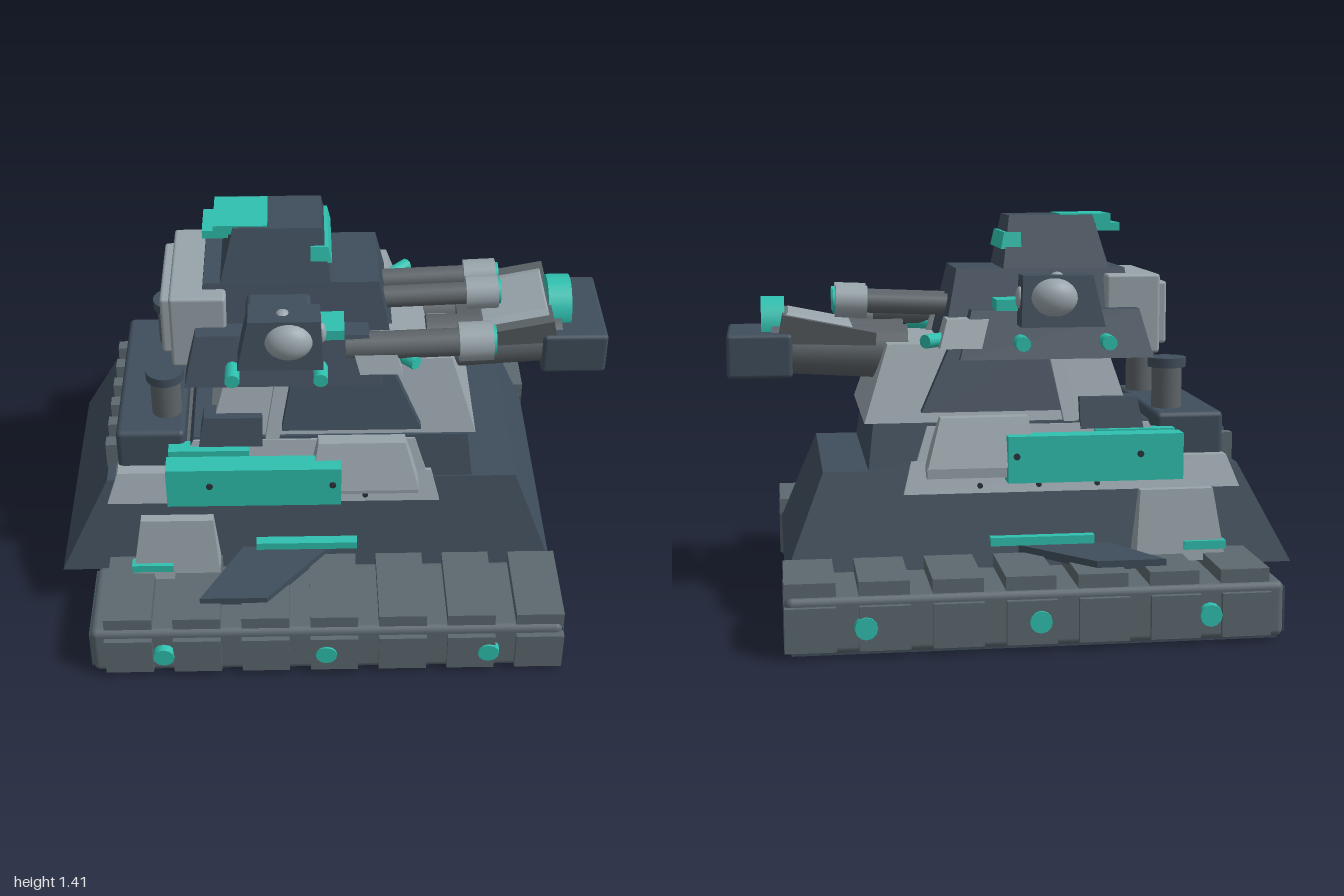
import * as THREE from 'three';
import { RoundedBoxGeometry } from 'three/addons/geometries/RoundedBoxGeometry.js';

const paint = (name, color) => Object.assign(new THREE.MeshStandardMaterial({ color }), { name });

export function createModel() {
  const navy = paint('navy armour', 0x3f4d5b), track = paint('track grey', 0x5c686f);
  const light = paint('light grey armour', 0x98a4ab), teal = paint('teal trim', 0x2fc0af);
  const steel = paint('gun steel', 0x5d6469), dark = paint('dark bolts', 0x2b3238);
  const model = new THREE.Group();

  const add = (name, geo, mat) => {
    const mesh = new THREE.Mesh(geo, mat);
    mesh.name = name;
    model.add(mesh);
    return mesh;
  };

  // Block with its own bottom and top rectangles, each [x0, x1, z0, z1]
  const block = (name, mat, y0, y1, bottom, top = bottom) => {
    const geo = new THREE.BoxGeometry(1, 1, 1), p = geo.attributes.position;
    for (let i = 0; i < p.count; i++) {
      const r = p.getY(i) < 0 ? bottom : top;
      p.setXYZ(i, p.getX(i) < 0 ? r[0] : r[1], p.getY(i) < 0 ? y0 : y1, p.getZ(i) < 0 ? r[2] : r[3]);
    }
    geo.computeVertexNormals();
    return add(name, geo, mat);
  };
  // Same block, placed on side s (z measured outward)
  const sideBlock = (s, name, mat, y0, y1, b, t = b) => {
    const flip = r => (s > 0 ? r : [r[0], r[1], -r[3], -r[2]]);
    return block(name, mat, y0, y1, flip(b), flip(t));
  };
  const rounded = (name, mat, x0, x1, y0, y1, z0, z1, r = 0.02) => {
    const geo = new RoundedBoxGeometry(x1 - x0, y1 - y0, Math.abs(z1 - z0), 2, r);
    return add(name, geo.translate((x0 + x1) / 2, (y0 + y1) / 2, (z0 + z1) / 2), mat);
  };
  // Cylinder running between two points
  const rod = (name, mat, a, b, r0, r1 = r0, sides = 20) => {
    const from = new THREE.Vector3(...a), d = new THREE.Vector3(...b).sub(from);
    const mesh = add(name, new THREE.CylinderGeometry(r1, r0, d.length(), sides), mat);
    mesh.position.copy(from).addScaledVector(d, 0.5);
    mesh.quaternion.setFromUnitVectors(new THREE.Vector3(0, 1, 0), d.normalize());
    return mesh;
  };

  // Hull layers
  block('lowerHull', navy, 0.18, 0.53, [-1, 0.81, -0.505, 0.505], [-0.82, 0.67, -0.41, 0.41]);
  block('hullBand', light, 0.45, 0.56, [-0.82, 0.39, -0.45, 0.45], [-0.78, 0.36, -0.41, 0.41]);
  block('hullShoulder', light, 0.56, 0.68, [-0.56, 0.34, -0.41, 0.41], [-0.5, 0.3, -0.375, 0.375]);
  block('upperHull', navy, 0.53, 0.69, [-0.56, 0.51, -0.405, 0.405], [-0.5, 0.49, -0.365, 0.365]);
  block('turretBase', light, 0.69, 0.96, [-0.44, 0.52, -0.355, 0.355], [-0.36, 0.43, -0.27, 0.27]);
  block('turret', navy, 0.9, 1.22, [-0.5, 0.24, -0.27, 0.27], [-0.45, 0.17, -0.165, 0.165]);

  // Cupola with visor and hatch
  block('cupola', navy, 1.22, 1.41, [-0.39, 0, -0.175, 0.175], [-0.34, -0.03, -0.11, 0.11]);
  block('visor', teal, 1.29, 1.35, [-0.07, 0.005, -0.15, 0.15], [-0.07, -0.008, -0.14, 0.14]);
  block('hatch', teal, 1.38, 1.415, [-0.41, -0.22, -0.1, 0.1]);
  block('hatchLip', teal, 1.35, 1.38, [-0.45, -0.36, -0.075, 0.075]);

  // Rear: stowage box, engine deck, ribs
  rounded('rearBox', light, -0.57, -0.37, 0.91, 1.2, -0.235, 0.235, 0.012);
  rounded('rearBoxLid', light, -0.605, -0.56, 0.94, 1.17, -0.19, 0.19, 0.012);
  rounded('engineDeck', navy, -0.78, -0.53, 0.54, 0.71, -0.365, 0.365);
  for (let i = 0; i < 6; i++) {
    const z = -0.3 + i * 0.12;
    block('engineRib', track, 0.52, 0.625, [-0.825, -0.77, z - 0.025, z + 0.025]);
  }

  // Undercarriage
  block('bellyRoof', navy, 0.13, 0.19, [-0.84, 0.7, -0.5, 0.5]);
  rounded('bellyKeel', navy, -0.5, 0.62, 0.03, 0.17, -0.13, 0.13, 0.03);
  block('rearBelly', navy, 0.02, 0.18, [-0.84, -0.4, -0.51, 0.51]);
  add('bellyLamp', new THREE.SphereGeometry(0.04, 16, 10), teal).position.set(0, 0.04, 0);

  for (const s of [1, -1]) {
    sideBlock(s, 'bellyRail', navy, 0.02, 0.18, [-0.84, 0.74, 0.28, 0.52]);
    sideBlock(s, 'bellyBracket', track, 0.02, 0.18, [-0.4, 0.68, 0.21, 0.28]);
    rod('bellyLight', teal, [0.4, 0.105, s * 0.165], [0.46, 0.105, s * 0.165], 0.045, 0.04, 8);

    // Track with end and bottom plates, tread pads and wheel hubs
    rounded('track', track, -0.87, 0.815, 0.005, 0.2, s * 0.505, s * 0.855, 0.025);
    for (const x of [-0.871, 0.816])
      sideBlock(s, 'trackEnd', navy, 0.025, 0.18, [x - 0.003, x + 0.003, 0.515, 0.845]);
    sideBlock(s, 'trackUnderside', navy, 0.001, 0.009, [-0.85, 0.795, 0.515, 0.84]);
    for (let i = 0; i < 7; i++) {
      const x = -0.735 + i * 0.2445;
      sideBlock(s, 'treadPad', track, 0.19, 0.245, [x - 0.085, x + 0.085, 0.51, 0.84]);
      sideBlock(s, 'trackSidePad', track, 0.02, 0.17, [x - 0.085, x + 0.085, 0.84, 0.875]);
    }
    for (const x of [-0.61, -0.03, 0.55])
      rod('wheelHub', teal, [x, 0.097, s * 0.84], [x, 0.097, s * 0.882], 0.042, 0.038, 12);

    // Fender shield, teal strips and swept fin above the track
    sideBlock(s, 'fenderShield', light, 0.22, 0.47, [-0.73, -0.41, 0.5, 0.605], [-0.69, -0.43, 0.535, 0.57]);
    sideBlock(s, 'shieldStrip', teal, 0.26, 0.29, [-0.73, -0.58, 0.57, 0.61]);
    sideBlock(s, 'hullStrip', teal, 0.27, 0.3, [-0.28, 0.09, 0.45, 0.51]);
    const fin = new THREE.Shape([[-0.48, 0.76], [-0.24, 0.76], [-0.01, 0.49], [-0.33, 0.49]]
      .map(([x, z]) => new THREE.Vector2(x, s * z)));
    const finGeo = new THREE.ExtrudeGeometry(fin, { depth: 0.03, bevelEnabled: false });
    add('sideFin', finGeo.rotateX(Math.PI / 2).translate(0, 0.268, 0), navy);

    // Teal side plate and the bin ahead of it
    sideBlock(s, 'sidePlate', teal, 0.495, 0.66, [-0.595, 0.03, 0.44, 0.52]);
    for (const x of [-0.44, 0])
      rod('plateBolt', dark, [x, 0.59, s * 0.51], [x, 0.59, s * 0.528], 0.012, 0.012, 8);
    for (const x of [-0.3, -0.09, 0.12])
      rod('bandBolt', dark, [x, 0.475, s * 0.43], [x, 0.475, s * 0.45], 0.01, 0.01, 8);
    sideBlock(s, 'sideBin', light, 0.55, 0.72, [-0.08, 0.31, 0.38, 0.51], [-0.05, 0.26, 0.4, 0.45]);
    sideBlock(s, 'binFoot', light, 0.51, 0.55, [-0.03, 0.31, 0.37, 0.48]);
    sideBlock(s, 'innerPlate', teal, 0.56, 0.66, [-0.59, -0.3, 0.35, 0.41]);
    sideBlock(s, 'rearLocker', navy, 0.66, 0.77, [-0.48, -0.25, 0.3, 0.385], [-0.46, -0.25, 0.28, 0.36]);
    sideBlock(s, 'basePanel', light, 0.69, 0.91, [-0.24, -0.19, 0.33, 0.385], [-0.2, -0.15, 0.27, 0.32]);

    // Turret cheek armour
    sideBlock(s, 'turretSkirt', navy, 0.91, 1.08, [-0.52, 0.18, 0.25, 0.36], [-0.48, 0.13, 0.2, 0.29]);
    sideBlock(s, 'cheekPlate', navy, 0.73, 0.98, [-0.18, 0.32, 0.32, 0.385], [-0.13, 0.2, 0.26, 0.31]);
    sideBlock(s, 'cheekCover', light, 0.95, 1.05, [0.1, 0.25, 0.2, 0.35], [0.07, 0.22, 0.18, 0.31]);
    for (const x of [-0.35, -0.04])
      rod('turretLight', teal, [x, 0.97, s * 0.3], [x, 0.97, s * 0.41], 0.027, 0.027, 10);
    rod('forwardLight', teal, [0.22, 0.975, s * 0.24], [0.3, 0.975, s * 0.32], 0.025, 0.025, 10);
    sideBlock(s, 'turretTrim', teal, 1.08, 1.12, [-0.06, 0.045, 0.2, 0.32]);

    // Sensor pod
    rounded('podMount', navy, -0.3, -0.07, 1.05, 1.18, s * 0.16, s * 0.285, 0.02);
    sideBlock(s, 'sensorPod', navy, 1.03, 1.21, [-0.33, -0.03, 0.275, 0.425], [-0.29, -0.04, 0.285, 0.395]);
    const eye = add('sensorDome', new THREE.SphereGeometry(0.085, 20, 14), light);
    eye.position.set(-0.15, 1.13, s * 0.39);
    eye.scale.set(1.02, 0.84, 0.72);
    const lens = add('podLens', new THREE.SphereGeometry(0.04, 14, 10), light);
    lens.position.set(-0.035, 1.13, s * 0.345);
    lens.scale.set(0.4, 1, 0.6);
    add('podCap', new THREE.SphereGeometry(0.03, 12, 8), light).position.set(-0.17, 1.19, s * 0.335);

    // Exhaust stack
    rod('exhaust', steel, [-0.6, 0.69, s * 0.225], [-0.6, 0.87, s * 0.225], 0.055);
    rod('exhaustCap', navy, [-0.6, 0.86, s * 0.225], [-0.6, 0.895, s * 0.225], 0.07);

    // Twin light cannon on the turret face
    rod('lightBarrel', steel, [0.15, 1.08, s * 0.055], [0.5, 1.095, s * 0.055], 0.04);
    rod('lightMuzzle', light, [0.49, 1.095, s * 0.055], [0.605, 1.1, s * 0.055], 0.06);
    rod('lightBore', teal, [0.6, 1.1, s * 0.055], [0.615, 1.1, s * 0.055], 0.045);

    // Main barrels
    rod('mainBarrel', steel, [0.35, 0.915, s * 0.1], [0.84, 0.93, s * 0.1], 0.1, 0.085, 24);
  }

  // Muzzle block, tilted gun body with its light cover, sight disc
  rounded('muzzle', navy, 0.765, 1, 0.835, 0.995, -0.2, 0.2, 0.015);
  const body = block('gunBody', steel, -0.06, 0.045, [-0.19, 0.17, -0.18, 0.18], [-0.17, 0.17, -0.2, 0.2]);
  const cover = block('gunCover', light, 0.04, 0.055, [-0.09, 0.16, -0.17, 0.17], [-0.08, 0.15, -0.12, 0.12]);
  for (const part of [body, cover]) {
    part.position.set(0.64, 0.985, 0);
    part.rotation.z = 0.2;
  }
  rod('sightDisc', teal, [0.79, 1.005, 0], [0.875, 1.005, 0], 0.11, 0.11, 28);

  // Single side gun
  rod('sideBarrel', steel, [0.05, 1.02, 0.275], [0.46, 1.035, 0.275], 0.05);
  rod('sideMuzzle', light, [0.45, 1.035, 0.275], [0.57, 1.04, 0.275], 0.07);
  rod('sideBore', teal, [0.565, 1.04, 0.275], [0.58, 1.04, 0.275], 0.055);

  return model;
}
